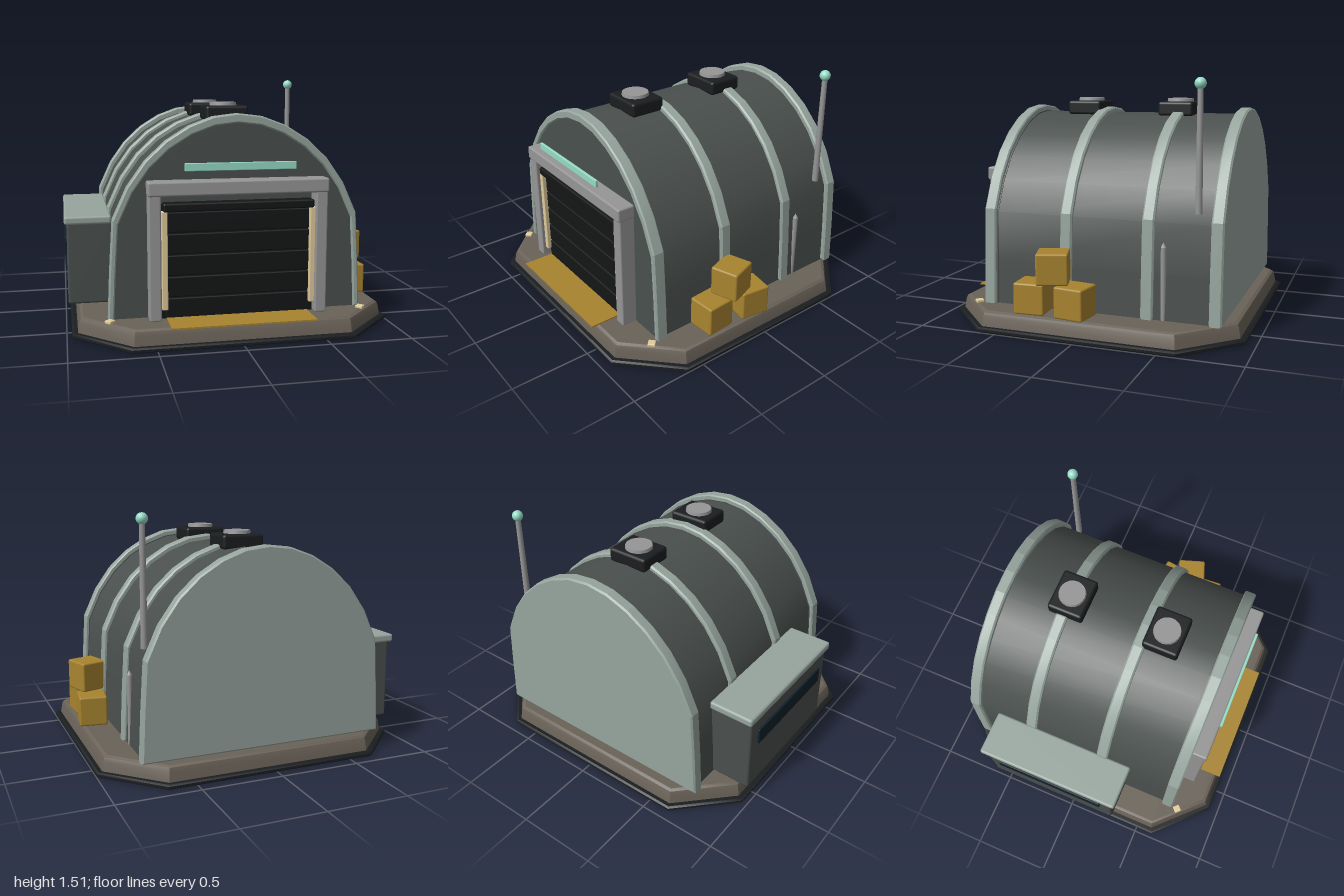
import * as THREE from 'three';
import { toCreasedNormals } from 'three/addons/utils/BufferGeometryUtils.js';
import { RoundedBoxGeometry } from 'three/addons/geometries/RoundedBoxGeometry.js';

const CX = 0.015; // centre line of hull and base
const FLOOR = 0.12;

const mat = (color) => new THREE.MeshStandardMaterial({ color });
const M = {
  hull: mat(0x4a504e), rib: mat(0x97a59e), base: mat(0x6a6258), dark: mat(0x1b1e20),
  door: mat(0x141617), steel: mat(0x969696), gold: mat(0xa8842f), lamp: mat(0xe0cb9c),
  mint: mat(0x96dcc6), glass: mat(0x10222a),
};

// Right half of the arch, from the floor to the crown
const ARCH = [[0.775, 0.12], [0.762, 0.4], [0.742, 0.71], [0.655, 0.9], [0.548, 1.05],
  [0.425, 1.165], [0.288, 1.25], [0.145, 1.303], [0, 1.32]];

function archPoints(s) {
  const half = ARCH.map(([x, y]) => new THREE.Vector2(x * s, FLOOR + (y - FLOOR) * s));
  const left = half.slice(0, -1).reverse().map((p) => new THREE.Vector2(-p.x, p.y));
  return [...half, ...left];
}

// Octagonal solid through levels of [inset, y]
function octagonLoft(levels) {
  const pos = [];
  const rings = levels.map(([d, y]) => {
    const w = 0.985 - d, h = 0.94 - d, c = 0.325 - d * 0.59;
    return [[w, h - c], [w - c, h], [c - w, h], [-w, h - c], [-w, c - h], [c - w, -h], [w - c, -h], [w, c - h]]
      .map(([x, z]) => [x, y, z]);
  });
  const tri = (a, b, c) => pos.push(...a, ...b, ...c);
  for (let i = 0; i + 1 < rings.length; i++) {
    for (let j = 0; j < 8; j++) {
      const k = (j + 1) % 8, lo = rings[i], hi = rings[i + 1];
      tri(lo[j], hi[j], hi[k]);
      tri(lo[j], hi[k], lo[k]);
    }
  }
  const bottom = rings[0], top = rings[rings.length - 1];
  for (let j = 1; j < 7; j++) {
    tri(bottom[0], bottom[j], bottom[j + 1]);
    tri(top[0], top[j + 1], top[j]);
  }
  const g = new THREE.BufferGeometry();
  g.setAttribute('position', new THREE.Float32BufferAttribute(pos, 3));
  g.computeVertexNormals();
  return toCreasedNormals(g, 0.5);
}

export function createModel() {
  const root = new THREE.Group();
  root.name = 'hangar';

  const add = (name, geo, material, x = 0, y = 0, z = 0, parent = root) => {
    const m = new THREE.Mesh(geo, material);
    m.name = name;
    m.position.set(x, y, z);
    parent.add(m);
    return m;
  };
  // Box given by its limits; r rounds the edges
  const box = (name, material, [x0, x1], [y0, y1], [z0, z1], r = 0) => {
    const s = [x1 - x0, y1 - y0, z1 - z0];
    const g = r ? new RoundedBoxGeometry(...s, 2, r) : new THREE.BoxGeometry(...s);
    return add(name, g, material, (x0 + x1) / 2, (y0 + y1) / 2, (z0 + z1) / 2);
  };
  // Arch slab between two depths; innerScale opens it into a hoop
  const arch = (name, material, scale, z0, z1, { bevel = 0, innerScale = 0, crease = 0.2 } = {}) => {
    let pts = archPoints(scale);
    if (innerScale) pts = [...pts, ...archPoints(innerScale).reverse()];
    const g = new THREE.ExtrudeGeometry(new THREE.Shape(pts), {
      depth: z1 - z0 - 2 * bevel, bevelEnabled: bevel > 0, bevelThickness: bevel,
      bevelSize: bevel, bevelOffset: -bevel, bevelSegments: 1,
    });
    return add(name, toCreasedNormals(g, crease), material, CX, 0, z0 + bevel);
  };

  // Base
  add('baseRim', octagonLoft([[0.012, 0], [0, 0.008], [0, 0.022], [0.012, 0.03]]), M.dark, CX);
  add('baseSlab', octagonLoft([[0.035, 0.03], [0.045, 0.09], [0.053, 0.11], [0.07, FLOOR]]), M.base, CX);

  // Hull, ribs and ends
  arch('hull', M.hull, 0.967, -0.76, 0.62, { crease: 0.6 });
  arch('frontWall', M.hull, 0.972, 0.6, 0.665);
  arch('frontHoop', M.rib, 1, 0.605, 0.682, { bevel: 0.008, innerScale: 0.955 });
  arch('frontRib', M.rib, 0.995, 0.1, 0.176, { bevel: 0.01 });
  arch('backRib', M.rib, 0.99, -0.412, -0.336, { bevel: 0.01 });
  arch('backWall', M.rib, 1, -0.822, -0.746, { bevel: 0.01 });

  // Doorway
  box('doorHeader', M.steel, [-0.53, 0.55], [0.855, 0.94], [0.66, 0.775], 0.012);
  for (const s of [-1, 1]) {
    const x = CX + s * 0.5 - 0.005;
    box('doorPost', M.steel, [x - 0.036, x + 0.036], [FLOOR, 0.87], [0.66, 0.765], 0.01);
    const lx = CX + s * 0.447;
    box('doorLight', M.lamp, [lx - 0.018, lx + 0.018], [0.18, 0.765], [0.7, 0.745], 0.006);
  }
  box('doorPanel', M.door, [-0.45, 0.475], [FLOOR, 0.8], [0.65, 0.705]);
  for (let i = 0; i < 5; i++) {
    const y = FLOOR + i * 0.128;
    box('doorSlat', M.door, [-0.425, 0.455], [y + 0.002, y + 0.124], [0.68, 0.718], 0.008);
  }
  box('doorRoller', M.door, [-0.44, 0.468], [0.76, 0.812], [0.67, 0.75], 0.012);
  box('doorSill', M.gold, [-0.42, 0.44], [0.119, 0.128], [0.69, 0.92]);
  box('signLight', M.mint, [-0.32, 0.34], [1.0, 1.046], [0.77, 0.787], 0.004);

  // Corner ground lamps
  for (const s of [-1, 1]) {
    const lamp = box('groundLamp', M.lamp, [-0.023, 0.023], [0.115, 0.135], [-0.023, 0.023], 0.005);
    lamp.position.x = CX + s * 0.768;
    lamp.position.z = 0.72;
    lamp.rotation.y = Math.PI / 4;
  }

  // Side annex
  box('annexBody', M.hull, [-0.985, -0.7], [FLOOR, 0.64], [-0.59, 0.31], 0.015);
  box('annexRoof', M.rib, [-1, -0.71], [0.63, 0.682], [-0.62, 0.34], 0.015);
  box('annexWindow', M.glass, [-0.998, -0.97], [0.43, 0.535], [-0.51, 0.23], 0.004);

  // Roof vents
  for (const z of [-0.355, 0.27]) {
    box('ventHousing', M.dark, [CX - 0.135, CX + 0.135], [1.265, 1.355], [z - 0.115, z + 0.115], 0.018);
    add('ventCap', new THREE.CylinderGeometry(0.083, 0.088, 0.03, 20), M.steel, CX - 0.005, 1.36, z);
  }

  // Mast and wall pipe
  add('mast', new THREE.CylinderGeometry(0.017, 0.021, 0.72, 12), M.steel, 0.718, 1.11, -0.665);
  add('mastLight', new THREE.SphereGeometry(0.034, 16, 12), M.mint, 0.718, 1.478, -0.665);
  add('wallPipe', new THREE.CylinderGeometry(0.017, 0.017, 0.43, 10), M.steel, 0.752, 0.335, -0.47);
  add('wallPipeTip', new THREE.ConeGeometry(0.017, 0.03, 10), M.steel, 0.752, 0.565, -0.47);

  // Crates: x, y, z, turn
  for (const [x, y, z, turn] of [[0.845, 0.215, 0.313, 0.07], [0.865, 0.215, 0.035, -0.14], [0.858, 0.408, 0.175, 0.33]]) {
    add('crate', new RoundedBoxGeometry(0.178, 0.19, 0.19, 2, 0.012), M.gold, x, y, z).rotation.y = turn;
  }
  return root;
}
